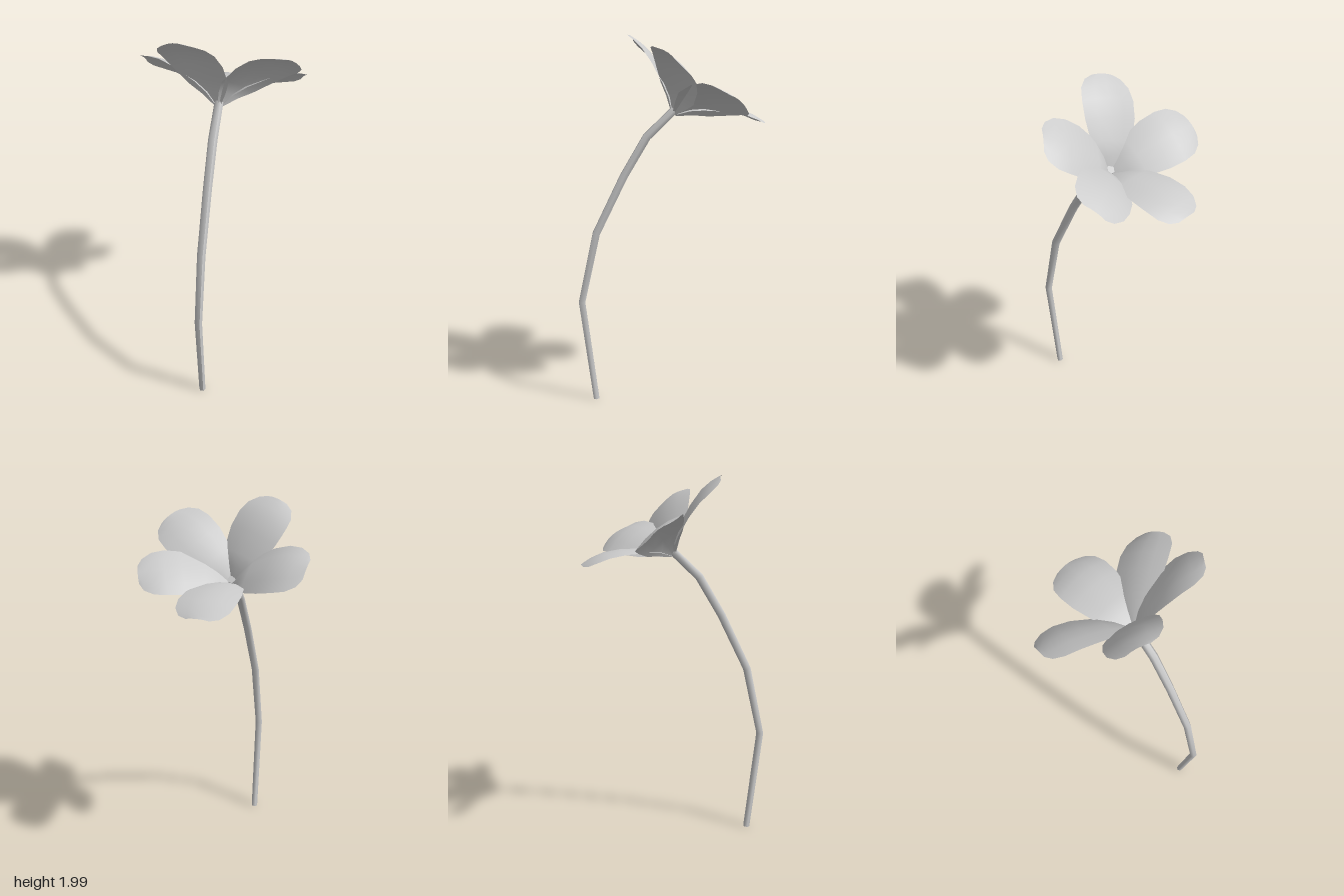
import * as THREE from 'three';

const material = new THREE.MeshStandardMaterial({ color: 0xcccccc });
const petalMaterial = new THREE.MeshStandardMaterial({ color: 0xcccccc, side: THREE.DoubleSide });

// Stem centre line as [y, z, radius]
const STEM = [
  [0.005, 0.415, 0.018], [0.565, 0.484, 0.02], [0.945, 0.4, 0.022],
  [1.25, 0.25, 0.023], [1.46, 0.125, 0.024], [1.6, -0.022, 0.023],
];

// Petal stations from base to tip as [distance out, height, half width]
const PETAL = [
  [0.008, 0.0, 0.015], [0.05, 0.068, 0.07], [0.1, 0.12, 0.115], [0.2, 0.192, 0.143],
  [0.28, 0.233, 0.147], [0.345, 0.25, 0.136], [0.392, 0.255, 0.103], [0.412, 0.257, 0.06],
];

// Each petal as [angle round the blossom, tilt] in degrees
const PETALS = [[90, 0], [22.5, -4], [-34, -7.5], [-113, -8], [175, -5]];

// Six-sided cylinder whose rings are carried along the bent centre line
function stemGeometry() {
  const n = STEM.length - 1;
  const geo = new THREE.CylinderGeometry(1, 1, 1, 6, n, false, Math.PI / 6);
  const pos = geo.attributes.position;
  for (let i = 0; i < pos.count; i++) {
    const k = Math.round((pos.getY(i) + 0.5) * n);
    const [y, z, r] = STEM[k];
    const a = STEM[Math.max(k - 1, 0)];
    const b = STEM[Math.min(k + 1, n)];
    const len = Math.hypot(b[0] - a[0], b[1] - a[1]);
    const ty = (b[0] - a[0]) / len;
    const tz = (b[1] - a[1]) / len;
    const side = pos.getZ(i) * r;
    pos.setXYZ(i, 0.011 + pos.getX(i) * r, y - tz * side, z + ty * side);
  }
  geo.computeVertexNormals();
  return geo;
}

// Thin arched blade growing along +x, its long edges drooping
function petalGeometry() {
  const n = PETAL.length - 1;
  const geo = new THREE.PlaneGeometry(1, 1, n, 4);
  const pos = geo.attributes.position;
  for (let i = 0; i < pos.count; i++) {
    const [out, height, half] = PETAL[Math.round((pos.getX(i) + 0.5) * n)];
    const s = pos.getY(i) * 2;
    const droop = 0.16 * half * s * s;
    pos.setXYZ(i, out, height - droop, -s * half);
  }
  geo.computeVertexNormals();
  return geo;
}

export function createModel() {
  const model = new THREE.Group();
  model.name = 'flower';

  const stem = new THREE.Mesh(stemGeometry(), material);
  stem.name = 'stem';
  model.add(stem);

  // Blossom tilted to the back on the stem tip
  const blossom = new THREE.Group();
  blossom.name = 'blossom';
  blossom.position.set(0.01, 1.58, -0.02);
  blossom.rotation.x = -0.6435;
  const geo = petalGeometry();
  PETALS.forEach(([angle, tilt], i) => {
    const petal = new THREE.Mesh(geo, petalMaterial);
    petal.name = `petal${i + 1}`;
    petal.rotation.set(0, THREE.MathUtils.degToRad(angle), THREE.MathUtils.degToRad(tilt));
    blossom.add(petal);
  });
  model.add(blossom);

  return model;
}
